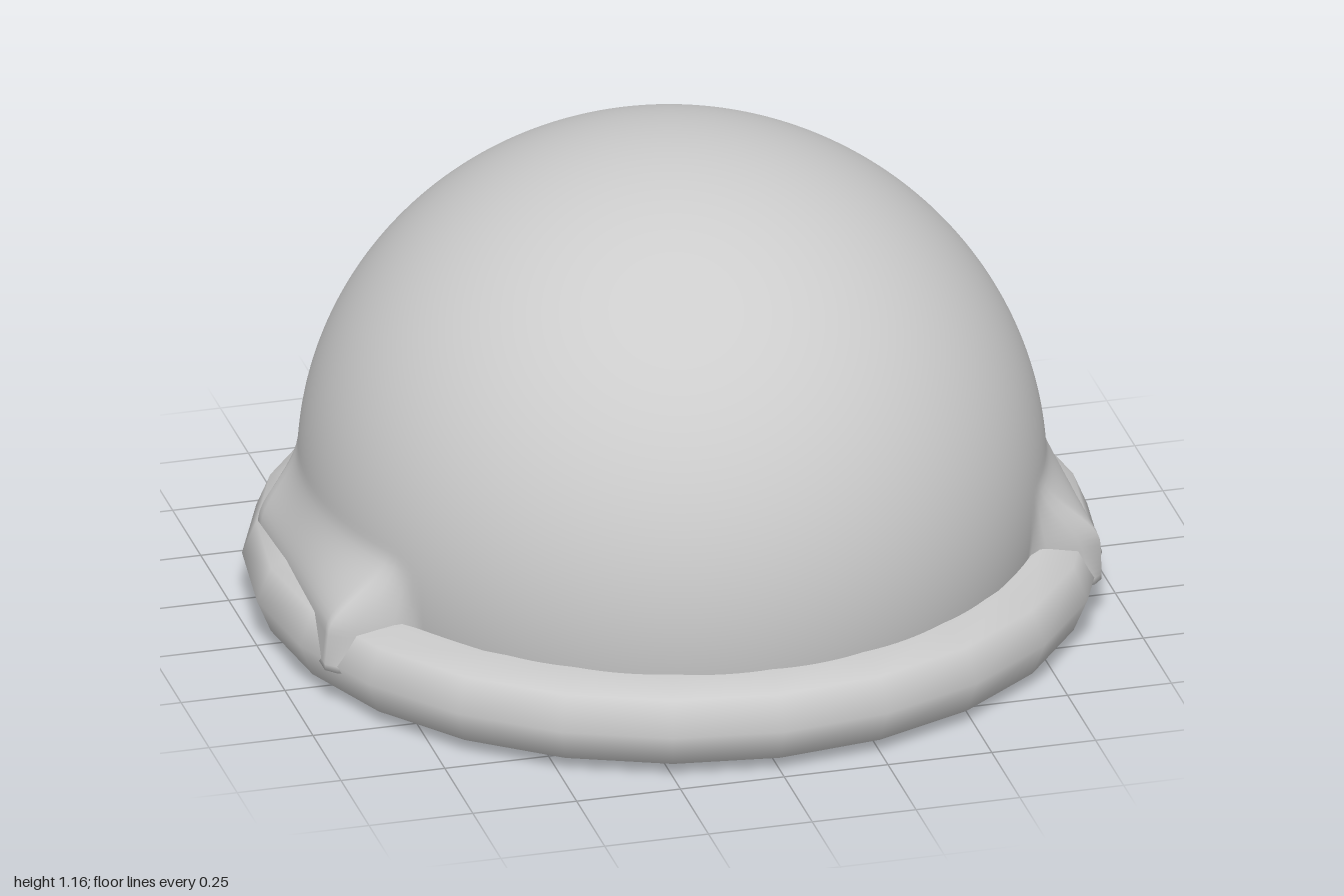
import * as THREE from 'three';
import { mergeVertices } from 'three/addons/utils/BufferGeometryUtils.js';

const gray = new THREE.MeshStandardMaterial({ color: 0xcccccc, side: THREE.DoubleSide });
gray.name = 'plain gray';

const { smoothstep, lerp } = THREE.MathUtils;

// Open-bottomed ellipsoid whose lower sides are pulled out into flares
function crownGeometry() {
  const g = new THREE.SphereGeometry(1, 200, 100, 0, Math.PI * 2, 0, Math.PI / 2 + 0.335);
  g.scale(0.87, 0.825, 0.9).translate(0, 0.34, 0);
  g.deleteAttribute('uv');
  g.deleteAttribute('normal');
  const crown = mergeVertices(g);
  const p = crown.attributes.position;
  for (let i = 0; i < p.count; i++) {
    const x = p.getX(i), y = p.getY(i), z = p.getZ(i);
    // Flare runs from z = -0.34 to 0.44 and fades out upwards and at the rim
    const along = smoothstep(z, -0.345, -0.25) * (1 - smoothstep(z, 0.375, 0.45));
    const down = (1 - smoothstep(y, 0.2, 0.39)) * smoothstep(y, 0.068, 0.1);
    const target = 0.93 + 0.06 * (0.2 - Math.min(y, 0.2));
    p.setX(i, Math.sign(x) * lerp(Math.abs(x), Math.max(target, Math.abs(x)), along * down));
  }
  crown.computeVertexNormals();
  return crown;
}

export function createModel() {
  const model = new THREE.Group();
  model.name = 'domedHat';
  const add = (name, geometry) => {
    const mesh = new THREE.Mesh(geometry, gray);
    mesh.name = name;
    model.add(mesh);
  };

  add('crown', crownGeometry());

  // Rolled brim
  const brim = new THREE.TorusGeometry(0.885, 0.115, 8, 24);
  brim.rotateX(Math.PI / 2).translate(0, 0.115, 0);
  add('brim', brim);
  return model;
}
